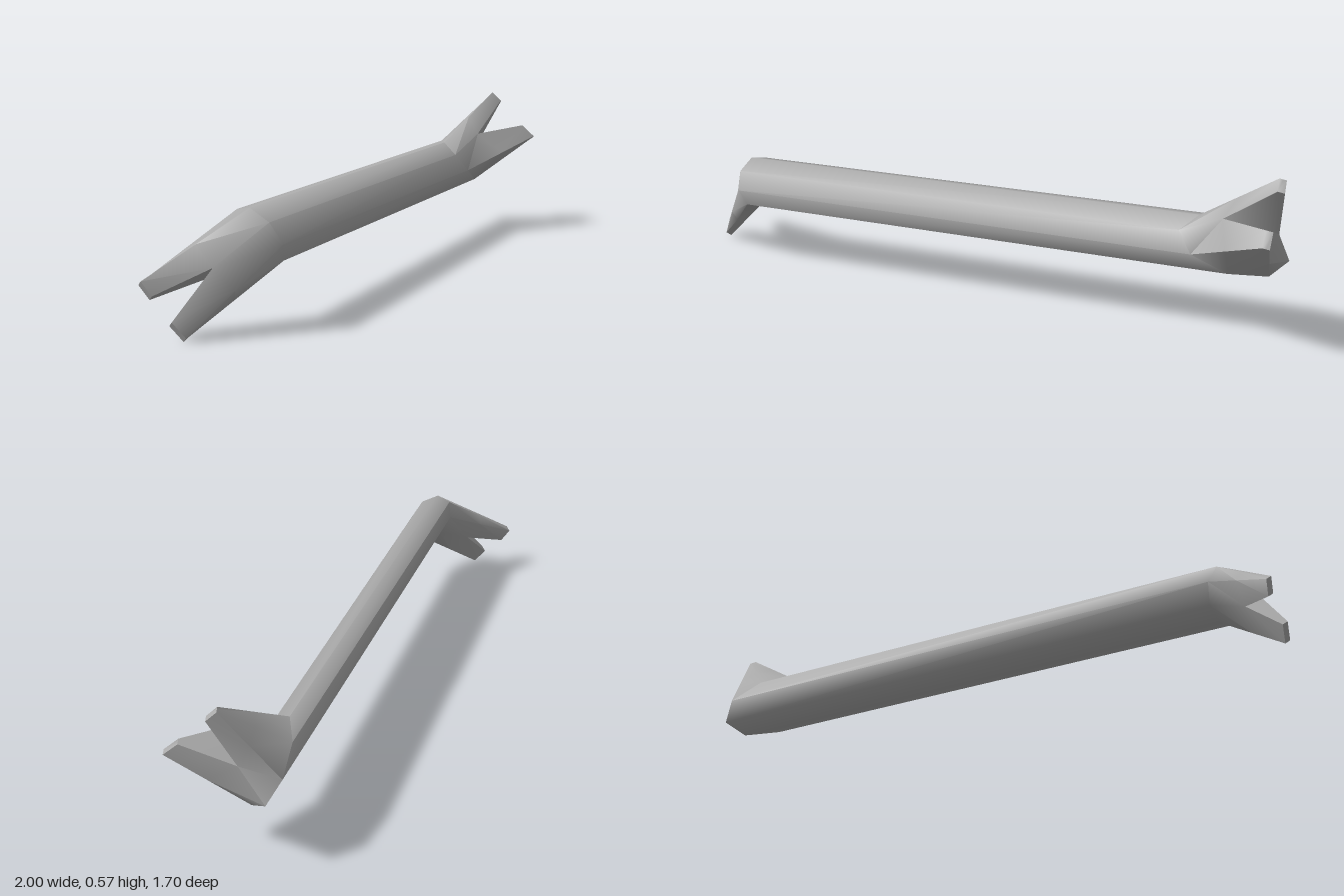
import * as THREE from 'three';
import { toCreasedNormals } from 'three/addons/utils/BufferGeometryUtils.js';

const vec = (x, y, z) => new THREE.Vector3(x, y, z);

// Each end: mitred elbow ring (centre, up and back half-axes), bottom of the notch,
// and for each tine its tip's outer and inner corner.
const ENDS = {
  right: {
    centre: vec(0.665, 0.295, -0.69), up: vec(-0.1, 0.087, 0.085), back: vec(0.02, 0.025, -0.15),
    notch: vec(0.765, 0.39, -0.70),
    upper: [vec(0.855, 0.57, -0.76), vec(0.885, 0.535, -0.74)],
    lower: [vec(0.995, 0.387, -0.64), vec(0.955, 0.432, -0.67)],
  },
  left: {
    centre: vec(-0.62, 0.295, 0.745), up: vec(-0.035, 0.087, 0.01), back: vec(-0.05, 0.02, -0.078),
    notch: vec(-0.79, 0.19, 0.77),
    upper: [vec(-0.995, 0.17, 0.74), vec(-0.965, 0.125, 0.755)],
    lower: [vec(-0.882, 0.008, 0.835), vec(-0.92, 0.055, 0.815)],
  },
};

export function createModel() {
  const steel = new THREE.MeshStandardMaterial({ color: 0xaaaaaa });
  steel.name = 'steel';
  const positions = [];

  const tri = (a, b, c, flip) => {
    for (const p of flip ? [a, c, b] : [a, b, c]) positions.push(p.x, p.y, p.z);
  };
  const quad = (a, b, c, d, flip) => {
    tri(a, b, c, flip);
    tri(a, c, d, flip);
  };
  // Skin between two rows of points
  const skin = (a, b, flip, closed) => {
    const n = a.length;
    for (let i = 0; i < (closed ? n : n - 1); i++) {
      const j = (i + 1) % n;
      quad(a[i], b[i], b[j], a[j], flip);
    }
  };

  // Octagonal elbow ring: index 0 is the top, 2 the back, 4 the bottom, 6 the front
  const ring = (end) => Array.from({ length: 8 }, (_, i) => {
    const t = (i * Math.PI) / 4;
    return end.centre.clone()
      .addScaledVector(end.up, Math.cos(t))
      .addScaledVector(end.back, Math.sin(t));
  });

  // Split claw: two tines lofted from the halves of the elbow ring to thin tips
  const addClaw = (end, flip) => {
    const points = ring(end);
    const across = end.up.clone().sub(end.back);
    const thin = across.clone().normalize().multiplyScalar(0.012);
    [[end.upper, 7, 1], [end.lower, 3, -1]].forEach(([[outer, inner], start, side]) => {
      const root = [0, 1, 2, 3, 4].map((i) => points[(start + i) % 8]);
      const tip = [inner, outer, outer, outer, inner].map((p, i) =>
        p.clone().addScaledVector(thin, side * [1, 1, 0, -1, -1][i]));
      const middle = root.map((p, i) => p.clone().lerp(tip[i], 0.5));
      middle[0] = end.notch.clone().addScaledVector(across, side * 0.35);
      middle[4] = end.notch.clone().addScaledVector(across, -side * 0.35);
      skin(root, middle, flip);
      skin(middle, tip, flip);
      // Inner wall of the notch, then the end of the tine
      quad(middle[4], tip[4], tip[0], middle[0], flip);
      for (let i = 1; i < 4; i++) tri(tip[0], tip[i + 1], tip[i], flip);
    });
  };

  // Straight shaft and the two bent claws form one forged piece
  skin(ring(ENDS.left), ring(ENDS.right), false, true);
  addClaw(ENDS.right, false);
  addClaw(ENDS.left, true);

  const geometry = new THREE.BufferGeometry();
  geometry.setAttribute('position', new THREE.Float32BufferAttribute(positions, 3));
  const bar = new THREE.Mesh(toCreasedNormals(geometry, 1.0), steel);
  bar.name = 'forgedBarWithClaws';

  const group = new THREE.Group();
  group.name = 'crowbar';
  group.add(bar);
  return group;
}
